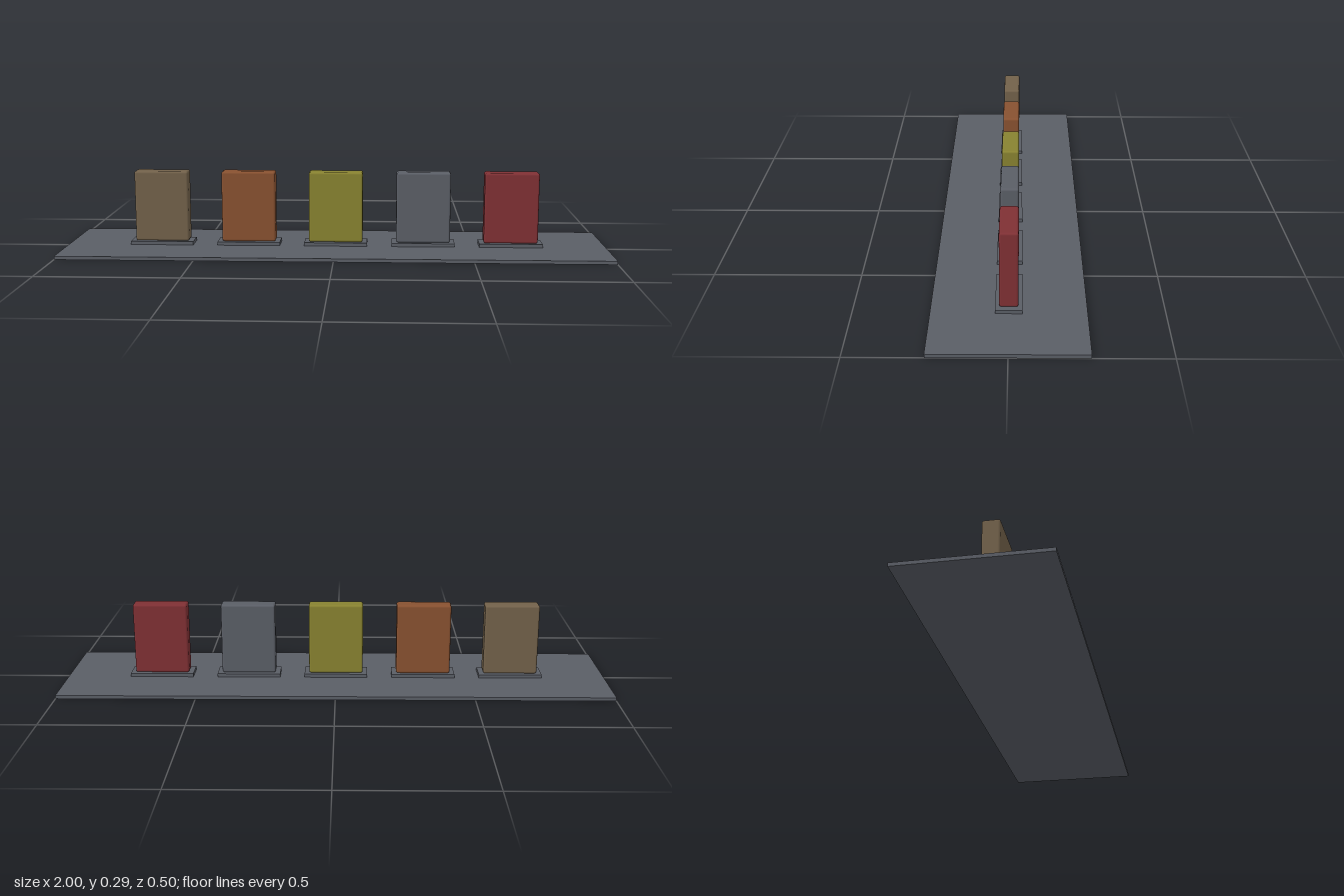
import * as THREE from 'three';
import { RoundedBoxGeometry } from 'three/addons/geometries/RoundedBoxGeometry.js';

const paint = (name, color) => {
  const m = new THREE.MeshStandardMaterial({ color });
  m.name = name;
  return m;
};

export function createModel() {
  const group = new THREE.Group();
  group.name = 'sampleBlocks';

  const grey = paint('slate grey', 0x5a5e66);
  const finishes = [
    ['tan', paint('tan brown', 0x72614a)],
    ['orange', paint('burnt orange', 0x885130)],
    ['yellow', paint('olive yellow', 0x888230)],
    ['grey', grey],
    ['red', paint('deep red', 0x7f3034)],
  ];

  const add = (parent, name, geometry, material, y) => {
    const mesh = new THREE.Mesh(geometry, material);
    mesh.name = name;
    mesh.position.y = y;
    parent.add(mesh);
  };

  // Thin ground plate
  const t = 0.0125;
  add(group, 'basePlate', new THREE.BoxGeometry(2, t, 0.5), grey, t / 2);

  // Five upright blocks with softened edges, each on a low plinth
  const height = 0.263;
  const plinth = new THREE.BoxGeometry(0.234, t, 0.087);
  const block = new RoundedBoxGeometry(0.2, height, 0.062, 2, 0.008);
  finishes.forEach(([name, material], i) => {
    const stand = new THREE.Group();
    stand.name = `${name}Stand`;
    stand.position.x = (i - 2) * 0.325;
    add(stand, 'plinth', plinth, grey, t * 1.5);
    add(stand, `${name}Block`, block, material, 2 * t + height / 2);
    group.add(stand);
  });

  return group;
}
